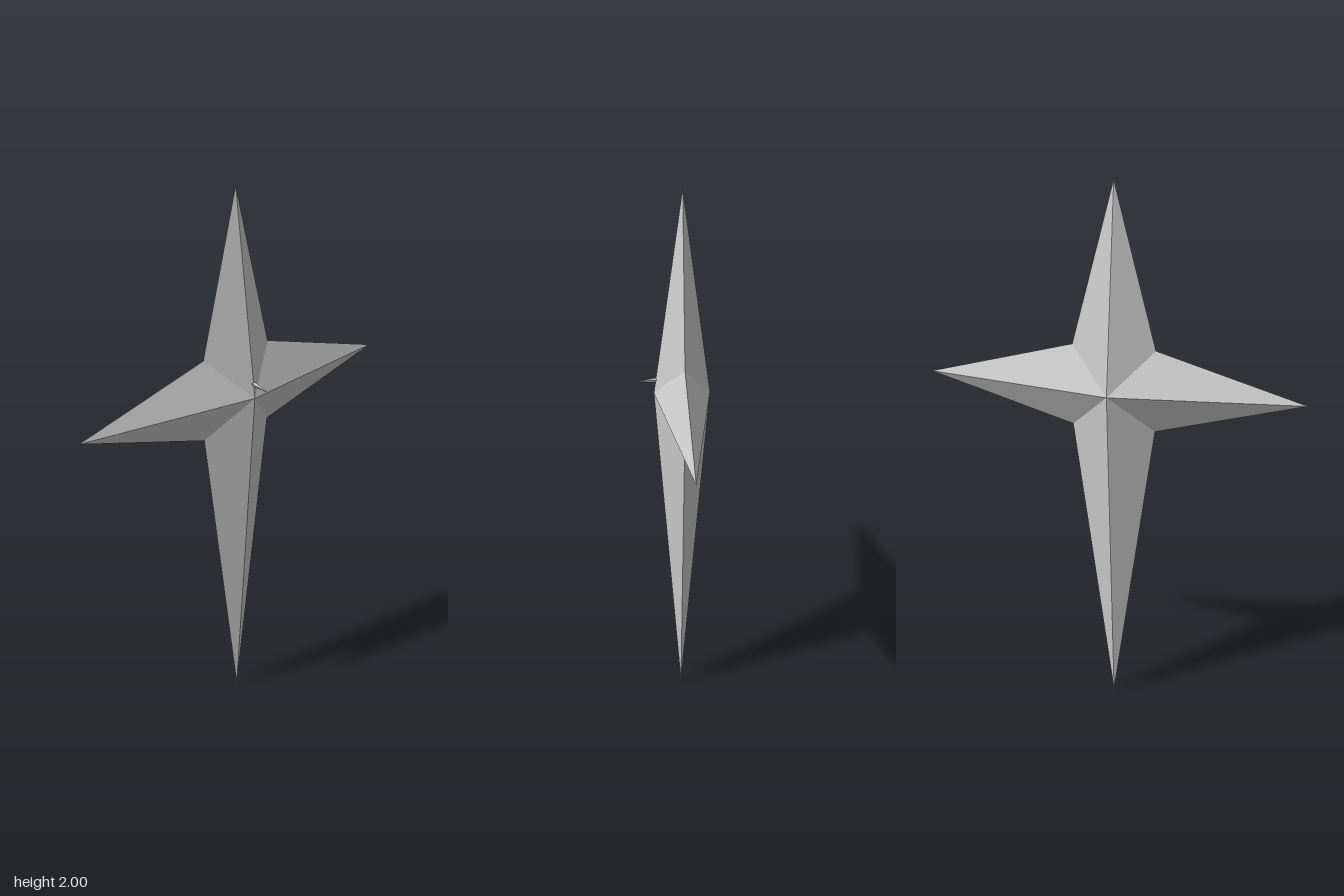
import * as THREE from 'three';

const material = new THREE.MeshStandardMaterial({ color: 0xcccccc, flatShading: true });

// Fans a closed ring (counter-clockwise from the front) to a front and a back apex
function facetedSolid(name, ring, front, back) {
  const points = [];
  ring.forEach((a, i) => {
    const b = ring[(i + 1) % ring.length];
    points.push(...a, ...b, ...front, ...b, ...a, ...back);
  });
  const geometry = new THREE.BufferGeometry();
  geometry.setAttribute('position', new THREE.Float32BufferAttribute(points, 3));
  geometry.computeVertexNormals();
  const mesh = new THREE.Mesh(geometry, material);
  mesh.name = name;
  return mesh;
}

export function createModel() {
  const group = new THREE.Group();
  group.name = 'fourPointedStar';

  // Star body: long tips alternate with inner corners around the centre
  const centreY = 1.256, midZ = -0.035, depth = 0.1, inner = 0.152;
  const tipLengths = [0.69, 2 - centreY, 0.69, centreY]; // left, top, right, bottom
  const ring = [];
  tipLengths.forEach((length, i) => {
    const angle = (i * Math.PI) / 2;
    const corner = angle + Math.PI / 4;
    const r = inner * Math.SQRT2;
    ring.push([length * Math.cos(angle), centreY + length * Math.sin(angle), midZ]);
    ring.push([r * Math.cos(corner), centreY + r * Math.sin(corner), midZ]);
  });
  group.add(facetedSolid('starBody', ring, [0, centreY, midZ + depth], [0, centreY, midZ - depth]));

  // Small three-sided thorn on the front, just above the centre
  const rootZ = 0.055;
  const root = [[0.009, 1.312, rootZ], [-0.009, 1.312, rootZ], [0, 1.298, rootZ]];
  group.add(facetedSolid('frontThorn', root, [0, 1.299, 0.135], [0, 1.307, rootZ]));

  return group;
}
